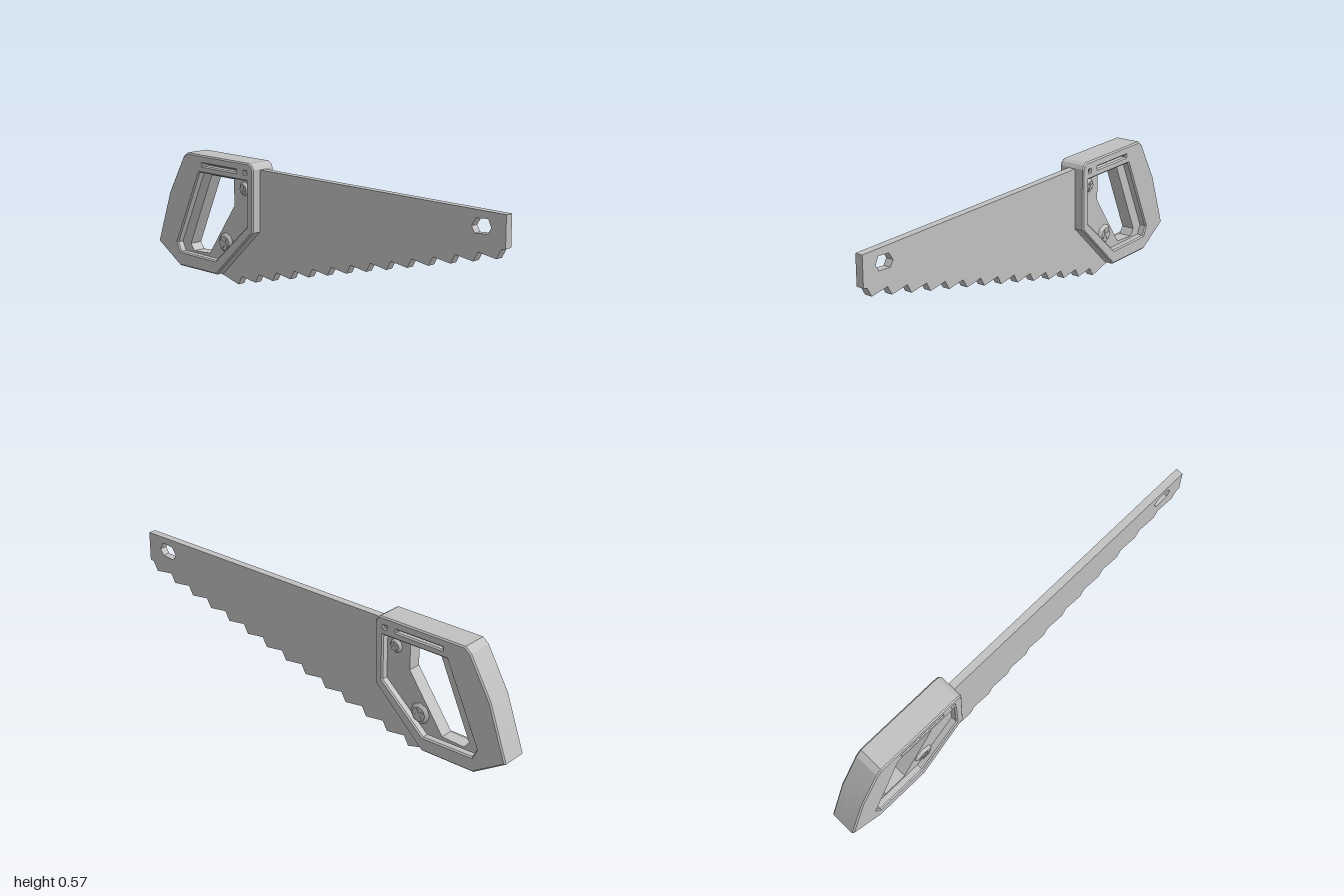
import * as THREE from 'three';
import { toCreasedNormals } from 'three/addons/utils/BufferGeometryUtils.js';

const steel = new THREE.MeshStandardMaterial({ color: 0xc0c0c0 });
steel.name = 'grey';

// Points of a closed outline, always counter-clockwise so that hole walls face inwards
function path(pts) {
  const points = pts.map(([u, v]) => new THREE.Vector2(u, v));
  return THREE.ShapeUtils.isClockWise(points) ? points.reverse() : points;
}

// Side profile (u runs to the back, v runs up), extruded across x and centred on x = cx
function plate(name, outline, holes, half, cx = 0, bevel = 0) {
  const shape = new THREE.Shape(path(outline));
  for (const h of holes) shape.holes.push(new THREE.Path(path(h)));
  const geo = new THREE.ExtrudeGeometry(shape, {
    depth: 2 * (half - bevel), bevelEnabled: bevel > 0, bevelSize: bevel,
    bevelThickness: bevel, bevelOffset: -bevel, bevelSegments: 1,
  });
  geo.translate(0, 0, bevel - half);
  geo.rotateY(Math.PI / 2);
  geo.translate(cx, 0, 0);
  const mesh = new THREE.Mesh(toCreasedNormals(geo, 0.35), steel);
  mesh.name = name;
  return mesh;
}

const slot = (u0, u1, v0, v1) => [[u0, v0], [u1, v0], [u1, v1], [u0, v1]];

// Blade with fourteen raked teeth and a hanging hole
function blade() {
  const outline = [[-1, 0.537], [-1, 0.405]];
  for (let i = 0; i < 14; i++) {
    const u = -0.957 + i * 0.1118, v = 0.36 - i * 0.0277;
    outline.push([u - 0.023, v + 0.04], [u, v]);
  }
  outline.push([0.61, 0.03], [0.63, 0.07], [0.4, 0.3], [0.4, 0.537]);
  const hole = [[-0.93, 0.476], [-0.914, 0.508], [-0.855, 0.503],
    [-0.834, 0.47], [-0.85, 0.444], [-0.914, 0.449]];
  return plate('blade', outline, [hole], 0.017);
}

// Screw head with a raised cross, facing the given side
function screw(side, u, v, r) {
  const g = new THREE.Group();
  g.name = 'screw';
  const head = new THREE.Mesh(new THREE.CylinderGeometry(r * 0.65, r, 0.014, 8), steel);
  head.name = 'screwHead';
  head.rotation.z = -side * Math.PI / 2;
  g.add(head);
  for (const a of [0.5, 0.5 + Math.PI / 2]) {
    const bar = new THREE.Mesh(new THREE.BoxGeometry(0.006, r * 0.95, r * 0.2), steel);
    bar.name = 'screwCross';
    bar.position.x = side * 0.007;
    bar.rotation.x = a;
    g.add(bar);
  }
  g.position.set(side * 0.035, v, -u);
  return g;
}

function handle() {
  const g = new THREE.Group();
  g.name = 'handle';
  const upper = [[0.352, 0.262], [0.347, 0.54], [0.356, 0.557], [0.372, 0.567],
    [0.786, 0.567], [0.813, 0.545], [0.914, 0.37], [1, 0.128]];
  const outline = [...upper, [0.85, 0.035], [0.594, 0.035]];

  // Core web, with a long notch along the underside
  const core = [...upper, [0.955, 0.1001], [0.94, 0.122], [0.838, 0.062],
    [0.665, 0.062], [0.655, 0.035], [0.594, 0.035]];
  const grip = [[0.503, 0.478], [0.652, 0.478], [0.805, 0.14], [0.782, 0.11],
    [0.674, 0.116], [0.503, 0.358]];
  g.add(plate('handleCore', core, [grip], 0.03));

  // Bevelled side shells, open around the web and slotted along the top
  const recess = [[0.388, 0.487], [0.702, 0.487], [0.862, 0.143], [0.842, 0.102],
    [0.6, 0.099], [0.388, 0.287]];
  const slots = [slot(0.39, 0.402, 0.519, 0.529), slot(0.455, 0.68, 0.519, 0.529)];
  for (const side of [1, -1]) {
    g.add(plate('handleShell', outline, [recess, ...slots], 0.024, side * 0.038, 0.006));
    g.add(screw(side, 0.433, 0.444, 0.033));
    g.add(screw(side, 0.561, 0.182, 0.05));
  }
  return g;
}

export function createModel() {
  const saw = new THREE.Group();
  saw.name = 'handSaw';
  saw.add(blade(), handle());
  return saw;
}
